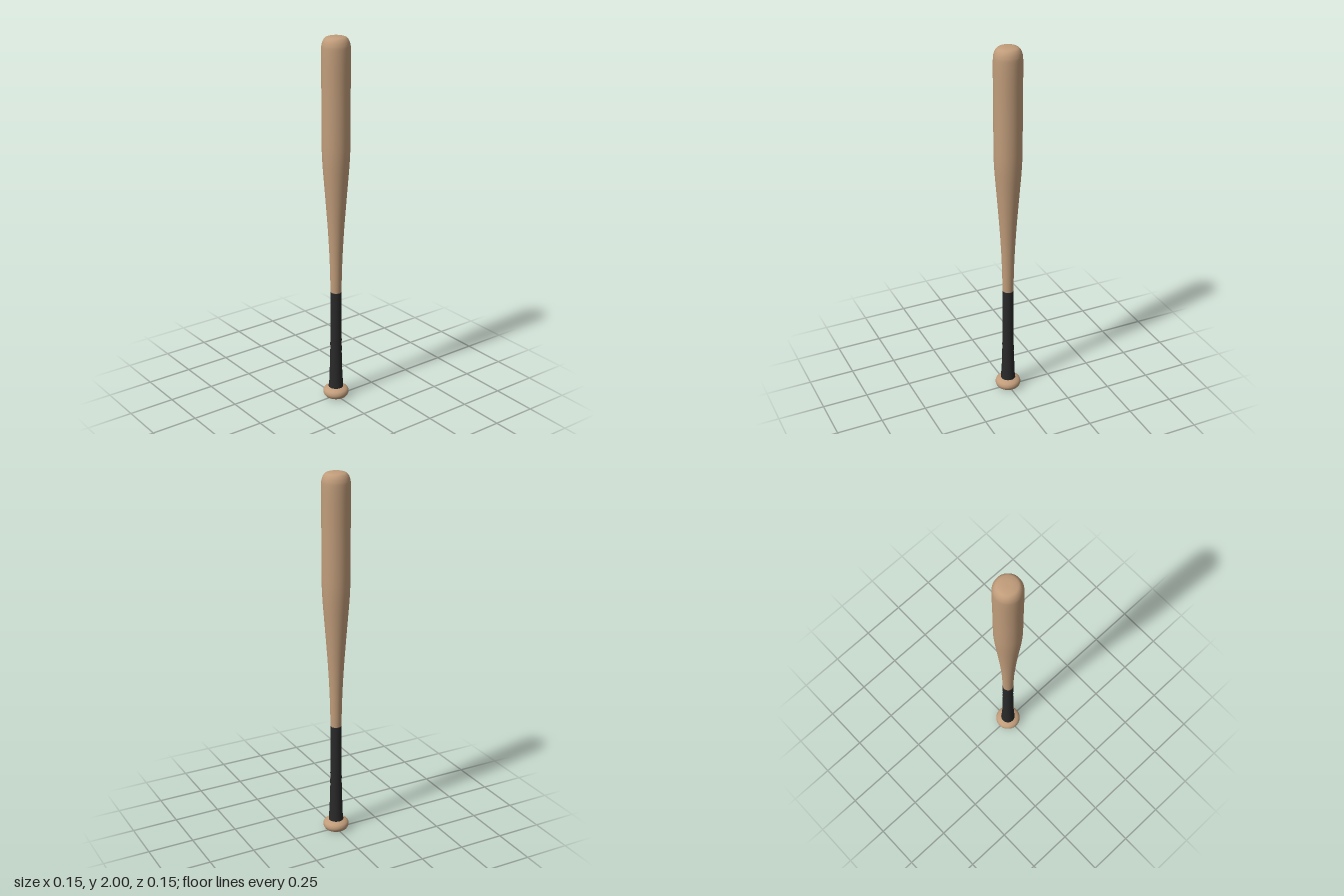
import * as THREE from 'three';

const wood = new THREE.MeshStandardMaterial({ color: 0xc09c7a });
wood.name = 'wood';
const gripTape = new THREE.MeshStandardMaterial({ color: 0x292929 });
gripTape.name = 'gripTape';

// Smooth turned part from [radius, height] points, listed bottom to top
function turned(name, points, material, steps = 60, segments = 48) {
  const curve = new THREE.CatmullRomCurve3(
    points.map(([r, y]) => new THREE.Vector3(r, y, 0)), false, 'centripetal');
  const profile = curve.getPoints(steps).map(p => new THREE.Vector2(Math.max(p.x, 0), p.y));
  const mesh = new THREE.Mesh(new THREE.LatheGeometry(profile, segments), material);
  mesh.name = name;
  return mesh;
}

export function createModel() {
  const bat = new THREE.Group();
  bat.name = 'bat';

  // Rounded knob at the butt end
  bat.add(turned('knob', [
    [0, 0.003], [0.025, 0.001], [0.045, 0.002], [0.06, 0.01], [0.068, 0.022], [0.07, 0.033],
    [0.066, 0.046], [0.056, 0.055], [0.045, 0.06], [0.034, 0.066], [0.03, 0.08],
  ], wood));

  // Tape-wrapped handle, flaring toward the knob
  const grip = turned('grip', [
    [0.0405, 0.058], [0.038, 0.09], [0.0345, 0.16], [0.032, 0.25], [0.0305, 0.38],
    [0.0295, 0.5], [0.03, 0.615], [0.0295, 0.626], [0.027, 0.627],
  ], gripTape, 160);

  // Slight spiral ridges where the tape overlaps
  const pos = grip.geometry.attributes.position;
  for (let i = 0; i < pos.count; i++) {
    const x = pos.getX(i), y = pos.getY(i), z = pos.getZ(i);
    const k = 1 + 0.015 * Math.cos(y / 0.05 * Math.PI * 2 + Math.atan2(z, x));
    pos.setXYZ(i, x * k, y, z * k);
  }
  bat.add(grip);

  // Tapered barrel with a rounded tip
  bat.add(turned('barrel', [
    [0.028, 0.6], [0.0295, 0.65], [0.0335, 0.8], [0.037, 0.88], [0.044, 1.0], [0.059, 1.2],
    [0.069, 1.33], [0.0725, 1.4], [0.0735, 1.48], [0.0735, 1.7], [0.0735, 1.94],
    [0.071, 1.96], [0.064, 1.979], [0.053, 1.992], [0.035, 1.998], [0.015, 2], [0, 2],
  ], wood, 100));

  return bat;
}
